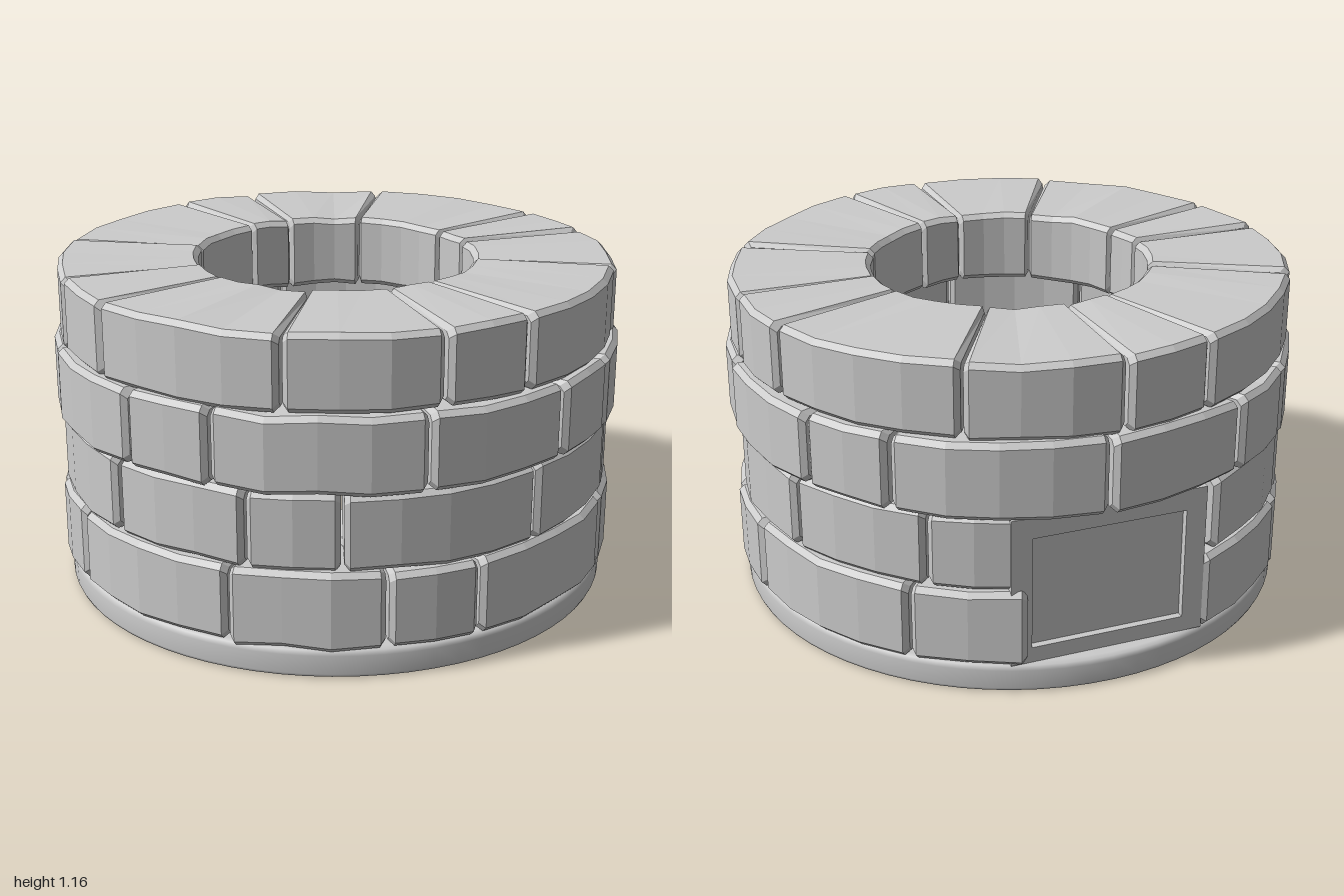
import * as THREE from 'three';

const stone = new THREE.MeshStandardMaterial({ color: 0xcccccc, flatShading: true });
const smooth = new THREE.MeshStandardMaterial({ color: 0xcccccc });
const rad = THREE.MathUtils.degToRad;

// Small seeded generator for the uneven stone edges
let seed = 7;
function wobble(amount) {
  seed = (seed * 16807) % 2147483647;
  return (seed / 2147483647 - 0.5) * 2 * amount;
}

function add(parent, name, geometry, material, x = 0, y = 0, z = 0) {
  const mesh = new THREE.Mesh(geometry, material);
  mesh.name = name;
  mesh.position.set(x, y, z);
  parent.add(mesh);
  return mesh;
}

// Chamfered eight-sided cross-section in (radius, height)
function section(ri, ro, y0, y1, b) {
  return [
    [ri + b, y0], [ro - b, y0], [ro, y0 + b], [ro, y1 - b],
    [ro - b, y1], [ri + b, y1], [ri, y1 - b], [ri, y0 + b],
  ];
}

// Curved stone swept from angle a0 to a1 (degrees from +z towards +x)
function stoneGeometry(a0, a1, ri, ro, y0, y1, rough = 0.006) {
  const bevel = 0.018, gap = 0.3, bevelAngle = 1.1;
  const start = a0 + gap, end = a1 - gap;
  const steps = Math.max(2, Math.round((a1 - a0) / 10));
  const angles = [start];
  for (let i = 0; i <= steps; i++) {
    angles.push(THREE.MathUtils.lerp(start + bevelAngle, end - bevelAngle, i / steps));
  }
  angles.push(end);

  const rings = [];
  let lift = 0, drop = 0, bulge = 0;
  angles.forEach((a, i) => {
    const last = angles.length - 1;
    const inset = i === 0 || i === last ? 0.016 : 0;
    if (i !== 1 && i !== last) {
      lift = wobble(rough);
      drop = wobble(rough);
      bulge = wobble(rough);
    }
    const ring = section(ri + inset, ro + bulge - inset, y0 + drop + inset, y1 + lift - inset, bevel);
    rings.push(ring.map(([r, y]) => [r * Math.sin(rad(a)), y, r * Math.cos(rad(a))]));
  });

  const out = [];
  const tri = (p, q, r) => out.push(...p, ...q, ...r);
  for (let i = 0; i < rings.length - 1; i++) {
    for (let j = 0; j < 8; j++) {
      const k = (j + 1) % 8, A = rings[i], B = rings[i + 1];
      tri(A[j], B[j], B[k]);
      tri(A[j], B[k], A[k]);
    }
  }
  const first = rings[0], final = rings[rings.length - 1];
  for (let j = 1; j < 7; j++) {
    tri(first[0], first[j], first[j + 1]);
    tri(final[0], final[j + 1], final[j]);
  }
  const geometry = new THREE.BufferGeometry();
  geometry.setAttribute('position', new THREE.Float32BufferAttribute(out, 3));
  geometry.computeVertexNormals();
  return geometry;
}

function rectangle(w, y0, y1, Type) {
  return new Type([
    new THREE.Vector2(-w, y0), new THREE.Vector2(w, y0),
    new THREE.Vector2(w, y1), new THREE.Vector2(-w, y1),
  ]);
}

export function createModel() {
  const model = new THREE.Group();
  model.name = 'roundStoneFirePit';

  // Smooth base ring with a rounded inner lip
  const profile = [
    [0.5, 0.1], [0.5, 0.06], [0.508, 0.03], [0.53, 0.01], [0.57, 0], [0.95, 0],
    [0.968, 0.004], [0.973, 0.015], [0.973, 0.08], [0.965, 0.095], [0.95, 0.1], [0.5, 0.1],
  ].map(([r, y]) => new THREE.Vector2(r, y));
  add(model, 'baseRing', new THREE.LatheGeometry(profile, 72), smooth);

  // Three thin wall courses under a wide coping course; each quarter repeats
  // a short, a long and a medium stone
  const wallInner = 0.72;
  const courses = [
    { y0: 0.1, y1: 0.371, ri: wallInner, ro: 0.985, turn: -9.5 },
    { y0: 0.371, y1: 0.638, ri: wallInner, ro: 0.972, turn: 53.5 },
    { y0: 0.638, y1: 0.898, ri: wallInner, ro: 0.995, turn: 28.5 },
    { y0: 0.898, y1: 1.155, ri: 0.485, ro: 0.975, turn: 1.2 },
  ];
  const gapStart = 160.5, gapEnd = 201;
  courses.forEach(({ y0, y1, ri, ro, turn }, level) => {
    const course = new THREE.Group();
    course.name = `stoneCourse${level + 1}`;
    model.add(course);
    for (let quarter = 0; quarter < 4; quarter++) {
      [[0, 18.5], [18.5, 59.5], [59.5, 90]].forEach(([from, to]) => {
        let a0 = (turn + quarter * 90 + from + 360) % 360;
        let a1 = a0 + to - from;
        // The lower two courses stop at the rear access panel
        if (level < 2) {
          if (a0 < gapStart && a1 > gapStart) a1 = Math.min(a1, gapStart + 2.5);
          else if (a0 < gapEnd && a1 > gapEnd + 3) a0 = Math.max(a0, gapEnd - 1);
          else if (a0 >= gapStart && a1 <= gapEnd + 3) return;
        }
        add(course, 'stone', stoneGeometry(a0, a1, ri, ro, y0, y1), stone);
      });
    }
  });

  // Rear access panel: backing wall, recessed plate and frame
  const panel = new THREE.Group();
  panel.name = 'accessPanel';
  model.add(panel);
  add(panel, 'panelBacking', stoneGeometry(160, 202, wallInner, 0.86, 0.1, 0.63, 0), stone);
  add(panel, 'panelPlate', new THREE.BoxGeometry(0.64, 0.52, 0.08), stone, 0, 0.365, -0.85);
  const frameShape = rectangle(0.34, 0.1, 0.63, THREE.Shape);
  frameShape.holes.push(rectangle(0.268, 0.155, 0.555, THREE.Path));
  const frame = new THREE.ExtrudeGeometry(frameShape, { depth: 0.1, bevelEnabled: false });
  add(panel, 'panelFrame', frame, stone, 0, 0, -0.915);

  // Round plate and nozzle on the inside of the front wall
  const inlet = new THREE.Group();
  inlet.name = 'inlet';
  inlet.position.set(0, 0.265, 0.6);
  inlet.rotation.x = -Math.PI / 2;
  model.add(inlet);
  add(inlet, 'inletPlate', new THREE.CylinderGeometry(0.26, 0.26, 0.16, 40), stone, 0, -0.08, 0);
  add(inlet, 'inletNut', new THREE.CylinderGeometry(0.06, 0.06, 0.03, 6), stone, 0, 0.015, 0);
  const nozzle = [[0.036, 0], [0.036, 0.15], [0.05, 0.2], [0.05, 0.23], [0, 0.23]]
    .map(([r, y]) => new THREE.Vector2(r, y));
  add(inlet, 'inletNozzle', new THREE.LatheGeometry(nozzle, 20), stone);

  return model;
}
